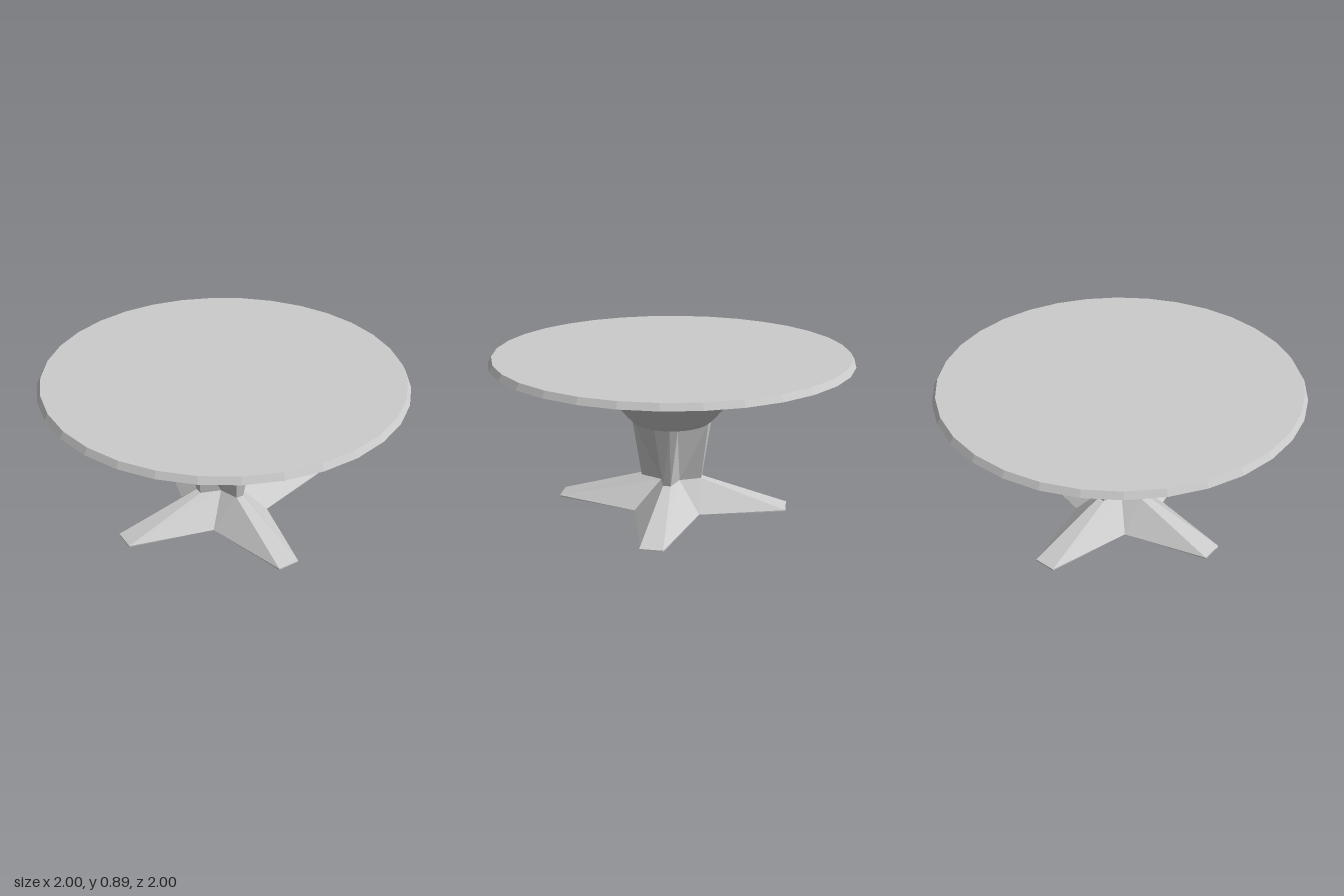
import * as THREE from 'three';

const material = new THREE.MeshStandardMaterial({ color: 0xcccccc, flatShading: true });

// Point at an angle (degrees, from +z towards +x), radius and height
function polar(angle, radius, y) {
  const a = THREE.MathUtils.degToRad(angle);
  return new THREE.Vector3(radius * Math.sin(a), y, radius * Math.cos(a));
}

// Flat-faced mesh from polygons, corners counter-clockwise seen from outside
function facetMesh(name, polygons) {
  const points = [];
  for (const p of polygons) {
    for (let i = 1; i < p.length - 1; i++) points.push(p[0], p[i], p[i + 1]);
  }
  const geometry = new THREE.BufferGeometry().setFromPoints(points);
  geometry.computeVertexNormals();
  const mesh = new THREE.Mesh(geometry, material);
  mesh.name = name;
  return mesh;
}

const LEG = 16.4;          // direction of the first leg
const RIM = 0.225;         // radius where the column meets the bowl

// Corners of one quarter, turned by a multiple of 90 degrees
function quarter(turn) {
  const leg = LEG + turn;
  return {
    tipL: polar(leg - 5.4, 0.665, 0.008), tipR: polar(leg + 5.4, 0.665, 0.008),
    soleL: polar(leg - 5.4, 0.665, 0), soleR: polar(leg + 5.4, 0.665, 0),
    crotch: polar(leg + 45, 0.262, 0),
    finL: polar(leg - 7.2, 0.175, 0.157), finR: polar(leg + 7.2, 0.175, 0.157),
    valley: polar(leg + 45, 0.075, 0.148),
    topL: polar(turn, RIM, 0.5), topM: polar(turn + 22.5, RIM, 0.5), topR: polar(turn + 33.75, RIM, 0.5),
  };
}

export function createModel() {
  const group = new THREE.Group();
  group.name = 'pedestalTable';

  // Round top with its flared bowl underneath
  const profile = [
    [0, 0.5], [RIM, 0.5], [0.255, 0.53], [0.41, 0.71], [0.57, 0.765],
    [1, 0.862], [0.98, 0.895], [0, 0.895],
  ].map(([r, y]) => new THREE.Vector2(r, y));
  const top = new THREE.Mesh(new THREE.LatheGeometry(profile, 32), material);
  top.name = 'tableTop';
  group.add(top);

  // Four-legged star foot and finned column, one quarter at a time
  const foot = [], column = [];
  const center = new THREE.Vector3();
  for (let i = 0; i < 4; i++) {
    const q = quarter(i * 90), prev = quarter(i * 90 - 90), next = quarter(i * 90 + 90);
    foot.push(
      [q.tipL, q.tipR, q.finR, q.finL],               // leg ridge
      [q.soleL, q.soleR, q.tipR, q.tipL],             // toe
      [prev.crotch, q.tipL, q.finL, prev.valley],     // left slope
      [q.tipR, q.crotch, q.valley, q.finR],           // right slope
      [prev.crotch, q.soleL, q.tipL],
      [q.soleR, q.crotch, q.tipR],
      [center, q.soleR, q.soleL],                     // underside
      [center, q.soleL, prev.crotch],
      [center, q.crotch, q.soleR],
    );
    column.push(
      [prev.valley, q.finL, q.topL],                  // left fin side
      [q.finL, q.topM, q.topL],                       // fin edge
      [q.finL, q.finR, q.topM],
      [q.finR, q.topR, q.topM],
      [q.finR, q.valley, q.topR],                     // right fin side
      [q.valley, next.topL, q.topR],                  // face between fins
    );
  }
  group.add(facetMesh('starFoot', foot), facetMesh('column', column));
  return group;
}
